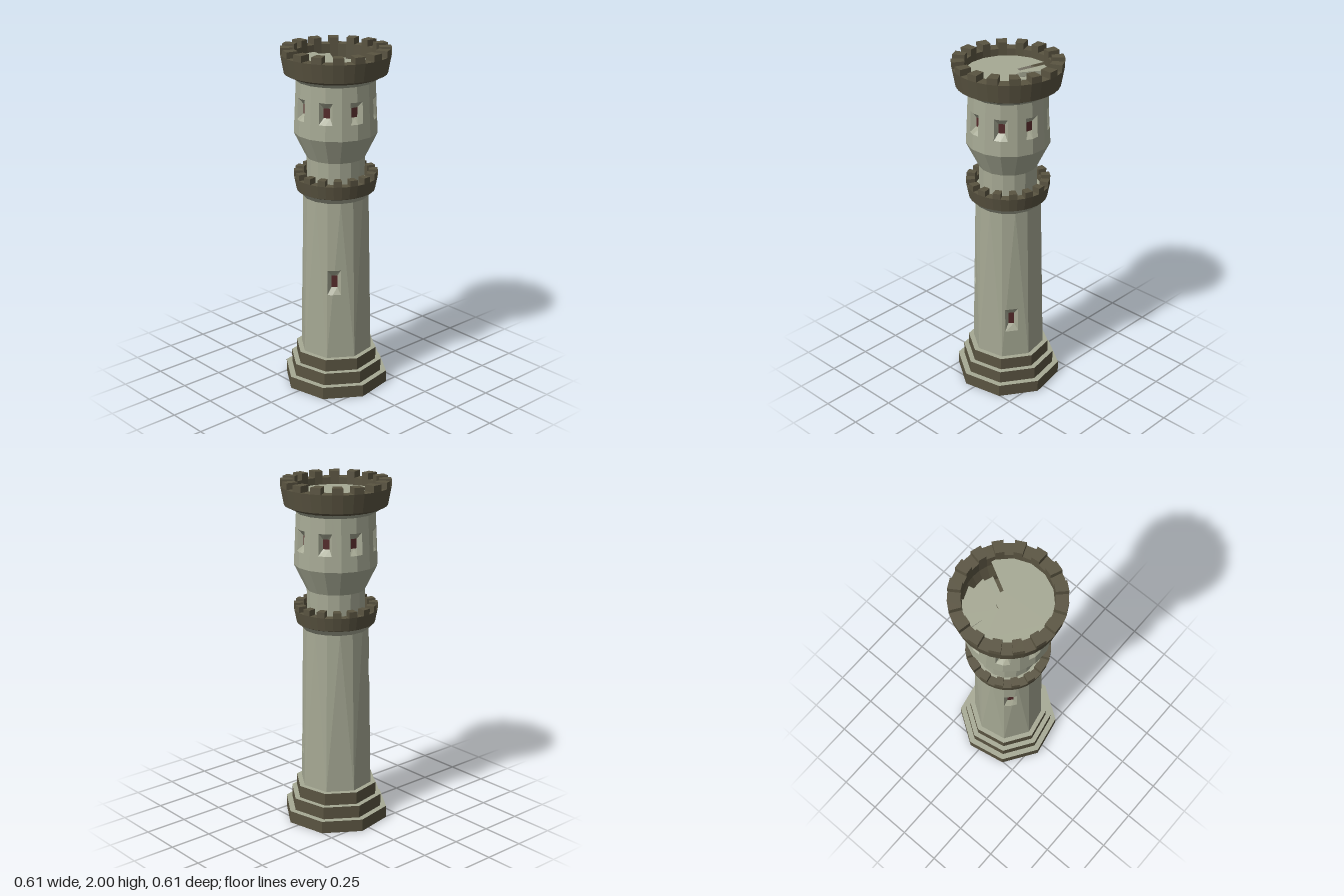
import * as THREE from 'three';

const material = (name, color, side = THREE.DoubleSide) => {
  const m = new THREE.MeshStandardMaterial({ color, side, flatShading: true });
  m.name = name;
  return m;
};
const RAD = Math.PI / 180;
const V = (x, y, z) => new THREE.Vector3(x, y, z);

// Point on a circle: angle in degrees from +x towards +z
const polar = (deg, r, y) => V(r * Math.cos(deg * RAD), y, r * Math.sin(deg * RAD));

// Flat-shaded mesh from a list of convex polygons
function polyMesh(name, polys, mat) {
  const pts = [];
  for (const p of polys)
    for (let i = 1; i < p.length - 1; i++) pts.push(p[0], p[i], p[i + 1]);
  const geo = new THREE.BufferGeometry().setFromPoints(pts);
  geo.computeVertexNormals();
  const mesh = new THREE.Mesh(geo, mat);
  mesh.name = name;
  return mesh;
}

// Faceted bands around the axis for a profile of [radius, y]
function bands(profile, sides, offset = 0) {
  const polys = [], step = 360 / sides;
  for (let j = 0; j < profile.length - 1; j++) {
    const [r0, y0] = profile[j], [r1, y1] = profile[j + 1];
    for (let i = 0; i < sides; i++) {
      const a = offset + i * step, b = a + step;
      polys.push([polar(a, r0, y0), polar(a, r1, y1), polar(b, r1, y1), polar(b, r0, y0)]);
    }
  }
  return polys;
}

// Closed wedge block between two angles and two radii
function wedge(a, b, r0, r1, y0, y1) {
  const p = (deg, r, y) => polar(deg, r, y);
  return [
    [p(a, r1, y0), p(a, r1, y1), p(b, r1, y1), p(b, r1, y0)],
    [p(b, r0, y0), p(b, r0, y1), p(a, r0, y1), p(a, r0, y0)],
    [p(a, r0, y1), p(b, r0, y1), p(b, r1, y1), p(a, r1, y1)],
    [p(a, r1, y0), p(b, r1, y0), p(b, r0, y0), p(a, r0, y0)],
    [p(a, r0, y0), p(a, r0, y1), p(a, r1, y1), p(a, r1, y0)],
    [p(b, r1, y0), p(b, r1, y1), p(b, r0, y1), p(b, r0, y0)],
  ];
}

// Part of a polygon where f >= 0
function clip(poly, f) {
  const out = [];
  poly.forEach((p, i) => {
    const q = poly[(i + 1) % poly.length], d = f(p), e = f(q);
    if (d >= -1e-9) out.push(p);
    if ((d > 1e-9 && e < -1e-9) || (d < -1e-9 && e > 1e-9)) out.push(p.clone().lerp(q, d / (d - e)));
  });
  return out;
}

// Cuts a window into a wall; adds its splayed jambs and its pane
function cutWindow(wall, { angle, y, w, h, paneW, paneH, depth }, jambs, panes) {
  const n = polar(angle, 1, 0), t = polar(angle + 90, 1, 0);
  const u = p => p.dot(t), v = p => p.y - y;
  const sides = [p => u(p) - w, p => -u(p) - w, p => v(p) - h, p => -v(p) - h];
  const at = (a, b) => n.clone().multiplyScalar(depth).addScaledVector(t, a).add(V(0, y + b, 0));
  const inner = p => at(u(p) / w * paneW, v(p) / h * paneH);
  const result = [];
  for (const poly of wall) {
    const mid = poly.reduce((s, p) => s.add(p), V(0, 0, 0));
    const hole = sides.reduce((p, f) => clip(p, q => -f(q)), poly);
    if (mid.dot(n) <= 0 || hole.length < 3) { result.push(poly); continue; }
    let rest = poly;
    for (const f of sides) {
      const piece = clip(rest, f);
      if (piece.length > 2) result.push(piece);
      rest = clip(rest, p => -f(p));
    }
    hole.forEach((p, i) => {
      const q = hole[(i + 1) % hole.length];
      if (sides.some(f => Math.abs(f(p)) < 1e-6 && Math.abs(f(q)) < 1e-6))
        jambs.push([p, q, inner(q), inner(p)]);
    });
  }
  panes.push([at(-paneW, -paneH), at(-paneW, paneH), at(paneW, paneH), at(paneW, -paneH)]);
  return result;
}

export function createModel() {
  const stone = material('pale stone', 0xa6a994);
  const trim = material('dark stone', 0x5a5441);
  const glass = material('dark red window', 0x542a2a);
  const tower = new THREE.Group();
  tower.name = 'tower';
  const add = (name, polys, mat) => tower.add(polyMesh(name, polys, mat));
  const TURN = 11.25;

  // Octagonal stepped base, hollow underneath
  const radii = [0.306, 0.271, 0.24, 0.21], levels = [0, 0.072, 0.145, 0.217];
  for (let i = 0; i < 3; i++) {
    add('baseStep', bands([[radii[i], levels[i]], [radii[i], levels[i + 1]]], 8, TURN), trim);
    add('baseTread', bands([[radii[i], levels[i + 1]], [radii[i + 1], levels[i + 1]]], 8, TURN), stone);
  }

  // Shaft: octagon at the foot turning into sixteen sides at the top
  let shaft = [];
  for (let i = 0; i < 8; i++) {
    const a = TURN + 45 * i;
    const b0 = polar(a, 0.21, 0.217), b1 = polar(a + 45, 0.21, 0.217);
    const [t0, t1, t2] = [0, 22.5, 45].map(d => polar(a + d, 0.188, 1.155));
    shaft.push([b0, t0, t1], [b0, t1, b1], [b1, t1, t2]);
  }
  const jambs = [], panes = [];
  for (const [angle, y] of [[135, 0.895], [45, 0.683], [-50, 0.46]])
    shaft = cutWindow(shaft, { angle, y, w: 0.038, h: 0.074, paneW: 0.017, paneH: 0.036, depth: 0.168 }, jambs, panes);
  add('shaft', shaft, stone);

  // Upper tower: neck, bulge and a ring of eight windows
  let upper = bands([[0.165, 1.23], [0.165, 1.38], [0.236, 1.525], [0.222, 1.82]], 16, TURN);
  for (let i = 0; i < 8; i++)
    upper = cutWindow(upper, { angle: TURN + 45 * i, y: 1.674, w: 0.038, h: 0.061, paneW: 0.018, paneH: 0.027, depth: 0.196 }, jambs, panes);
  add('upperTower', upper, stone);
  add('windowJambs', jambs, stone);
  add('windowPanes', panes, glass);

  // Cornices under both battlements
  add('lowerCornice', bands([[0.188, 1.155], [0.215, 1.186]], 16, TURN), stone);
  add('upperCornice', bands([[0.222, 1.82], [0.254, 1.843]], 16, TURN), stone);

  // Battlements: parapet ring with sixteen merlons
  const battlement = (name, profile, inner, top) => {
    const [rim, lip] = profile[profile.length - 1];
    add(name + 'Parapet', bands([...profile, ...inner], 32), trim);
    const merlons = [];
    for (let i = 1; i < 32; i += 2)
      merlons.push(...wedge(TURN * i, TURN * (i + 1), inner[0][0], rim, lip, top));
    add(name + 'Merlons', merlons, trim);
  };
  battlement('lower', [[0.205, 1.182], [0.222, 1.19], [0.237, 1.267]], [[0.188, 1.267], [0.188, 1.22]], 1.3);
  battlement('upper', [[0.24, 1.838], [0.287, 1.86], [0.306, 1.964]],
    [[0.238, 1.964], [0.238, 1.88], [0.208, 1.8], [0.205, 1.75]], 2);
  add('lowerWalkway', bands([[0.19, 1.235], [0.16, 1.235]], 16, TURN), stone);

  // Roof deck with a stairwell opening
  const outline = [];
  const mark = (deg, r) => outline.push(new THREE.Vector2(r * Math.cos(deg * RAD), r * Math.sin(deg * RAD)));
  mark(298, 0.234);
  for (let i = 0; i < 12; i++) mark(303.75 + 22.5 * i, 0.238);
  for (const deg of [191.25, 213.75, 236.25, 258.75, 281.25, 298]) mark(deg, 0.062);
  const deck = new THREE.Mesh(new THREE.ShapeGeometry(new THREE.Shape(outline)).rotateX(Math.PI / 2), stone);
  deck.position.y = 1.925;
  deck.name = 'roofDeck';
  tower.add(deck);

  // Winding stairs going down through the opening
  const stairs = [];
  const reach = [0.236, 0.236, 0.23, 0.208, 0.204];
  for (let i = 0; i < 5; i++) {
    const a = 193 + 22.5 * i, y = 1.912 - 0.026 * i;
    stairs.push(...wedge(a, Math.min(a + 20.6, 297), 0.062, reach[i], y - 0.026, y));
  }
  add('stairs', stairs, stone);
  add('stairwellFloor', bands([[0.205, 1.76], [0.001, 1.76]], 16, TURN), trim);

  return tower;
}
